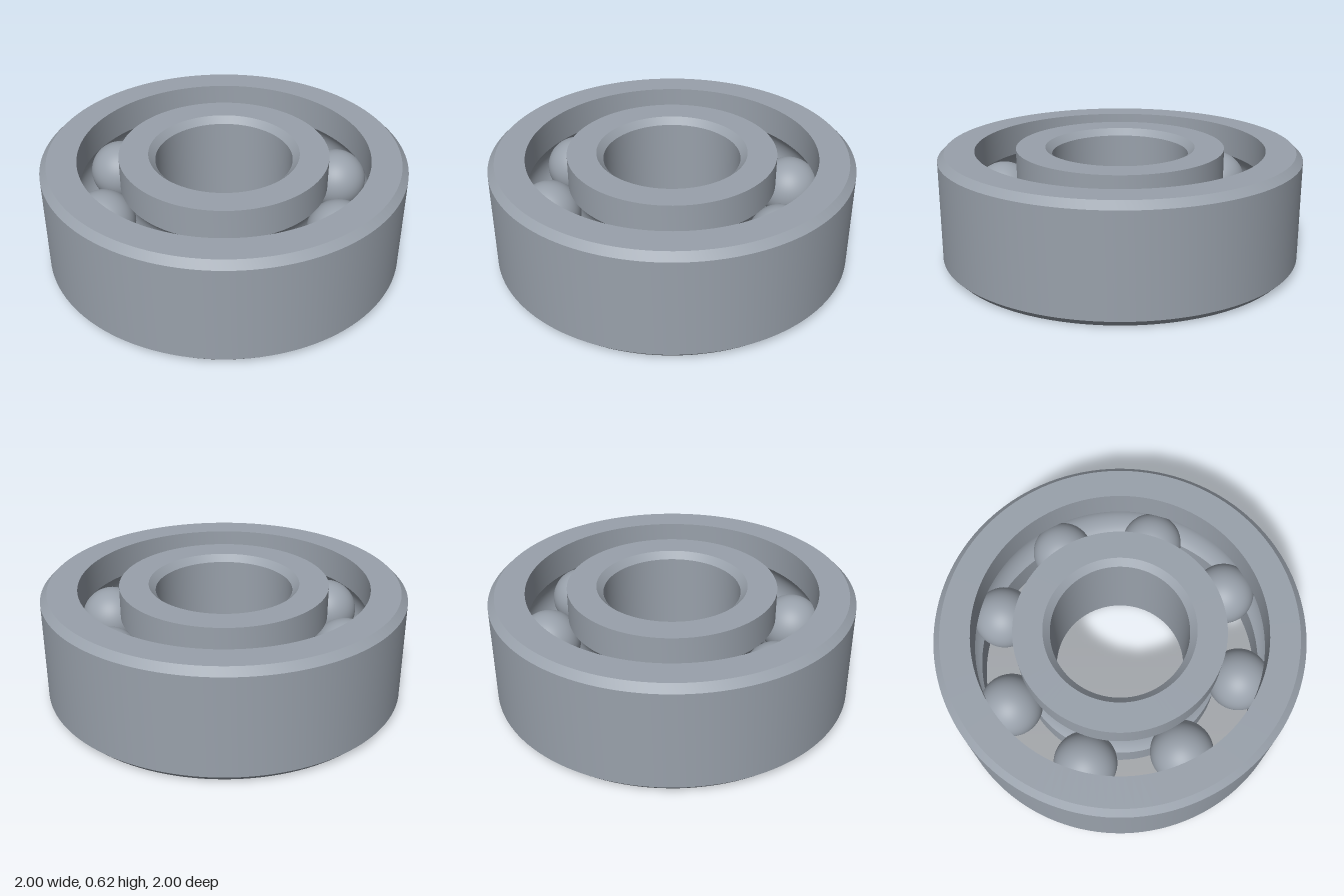
import * as THREE from 'three';
import { toCreasedNormals } from 'three/addons/utils/BufferGeometryUtils.js';

const HEIGHT = 0.625, CHAMFER = 0.037;
const OUTER = 1, OUTER_INSIDE = 0.8, INNER_OUTSIDE = 0.575, BORE = 0.377;
const PITCH = (OUTER_INSIDE + INNER_OUTSIDE) / 2;
const BALL = 0.173, GROOVE = 0.175, BALL_COUNT = 8;

// Arc of the ball groove in the (radius, height) plane
function grooveArc(from, to, steps = 16) {
  const points = [];
  for (let i = 0; i <= steps; i++) {
    const t = from + (to - from) * i / steps;
    points.push([PITCH + GROOVE * Math.cos(t), HEIGHT / 2 + GROOVE * Math.sin(t)]);
  }
  return points;
}

// Closed counter-clockwise profile turned into a ring with crisp edges
function makeRing(name, profile, material) {
  const points = [...profile, profile[0]].map(([r, y]) => new THREE.Vector2(r, y));
  const mesh = new THREE.Mesh(toCreasedNormals(new THREE.LatheGeometry(points, 128), 0.5), material);
  mesh.name = name;
  return mesh;
}

export function createModel() {
  const model = new THREE.Group();
  model.name = 'ballBearing';
  const steel = new THREE.MeshStandardMaterial({ color: 0x99a1ab });
  steel.name = 'steel';

  const half = Math.acos((OUTER_INSIDE - PITCH) / GROOVE);

  // Outer ring: chamfered outside, grooved inside
  model.add(makeRing('outerRing', [
    [OUTER - CHAMFER, 0], [OUTER, CHAMFER],
    [OUTER, HEIGHT - CHAMFER], [OUTER - CHAMFER, HEIGHT],
    [OUTER_INSIDE, HEIGHT],
    ...grooveArc(half, -half),
    [OUTER_INSIDE, 0],
  ], steel));

  // Inner ring: grooved outside, chamfered bore
  model.add(makeRing('innerRing', [
    [INNER_OUTSIDE, 0],
    ...grooveArc(Math.PI + half, Math.PI - half),
    [INNER_OUTSIDE, HEIGHT],
    [BORE + CHAMFER, HEIGHT], [BORE, HEIGHT - CHAMFER],
    [BORE, CHAMFER], [BORE + CHAMFER, 0],
  ], steel));

  // Balls spaced evenly around the groove
  const balls = new THREE.Group();
  balls.name = 'balls';
  const ballGeometry = new THREE.SphereGeometry(BALL, 48, 32);
  for (let i = 0; i < BALL_COUNT; i++) {
    const angle = THREE.MathUtils.degToRad(11.7) + i * 2 * Math.PI / BALL_COUNT;
    const ball = new THREE.Mesh(ballGeometry, steel);
    ball.name = `ball${i + 1}`;
    ball.position.set(PITCH * Math.cos(angle), HEIGHT / 2, PITCH * Math.sin(angle));
    balls.add(ball);
  }
  model.add(balls);

  return model;
}
